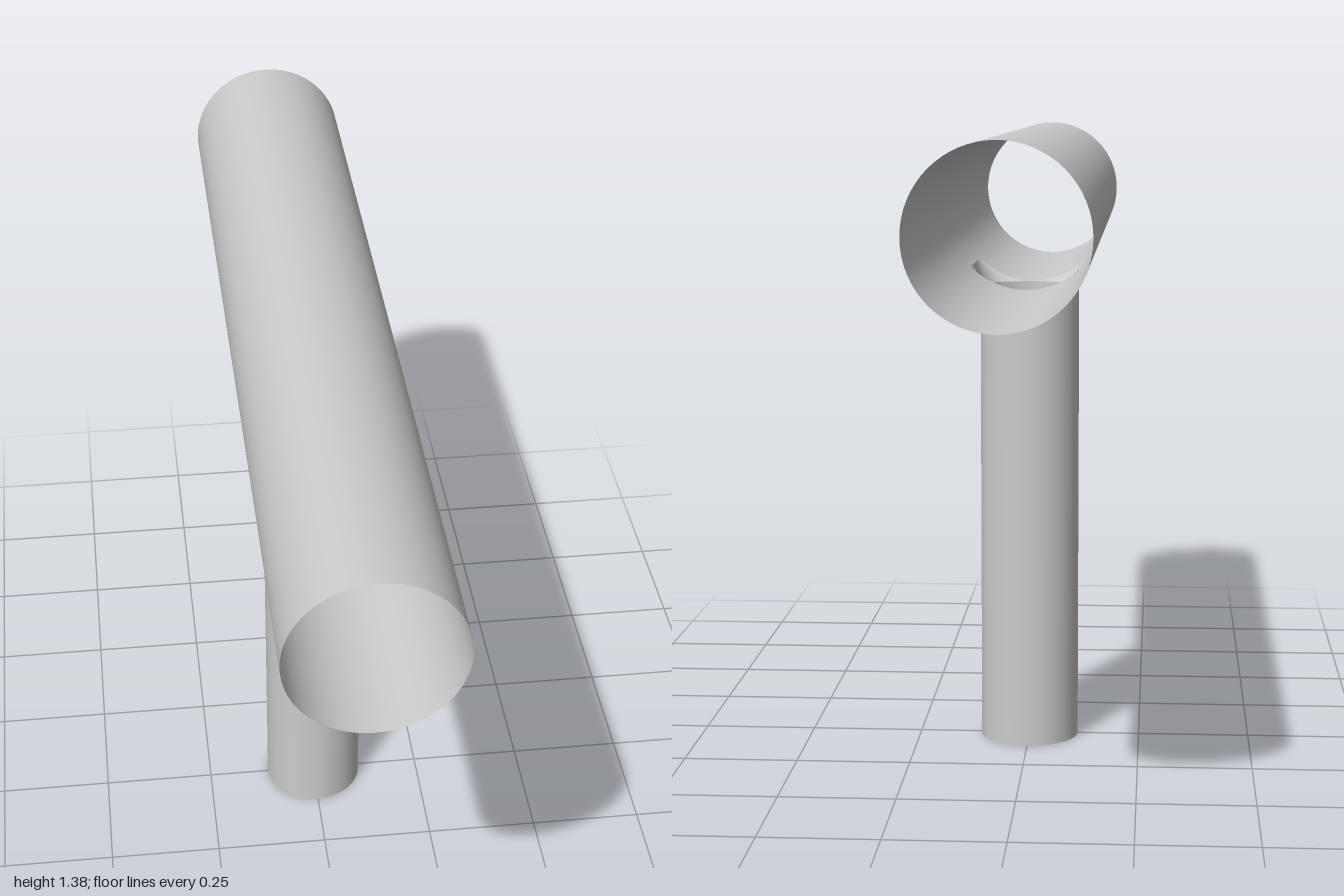
import * as THREE from 'three';

const R = 0.172;            // cross tube radius
const AXIS_Y = 1.203;       // cross tube axis height
const LEG_R = 0.11;
const LEG_TOP = 1.03;
const HALF = R * Math.SQRT1_2; // half width of the square opening under the tube
const SEG = 64;

const material = new THREE.MeshStandardMaterial({ color: 0xcccccc, side: THREE.DoubleSide });

function addMesh(parent, name, geometry) {
  const mesh = new THREE.Mesh(geometry, material);
  mesh.name = name;
  parent.add(mesh);
  return mesh;
}

// Open tube section along z; angle 0 is the underside
function tubeSection(z0, z1, start = 0, length = Math.PI * 2) {
  const segments = Math.round(SEG * length / (Math.PI * 2));
  return new THREE.CylinderGeometry(R, R, z1 - z0, segments, 1, true, start, length)
    .rotateX(Math.PI / 2)
    .translate(0, AXIS_Y, (z0 + z1) / 2);
}

// Flared collar from the round leg to the square opening on the tube's underside
function collarGeometry() {
  const positions = [], indices = [];
  for (let i = 0; i < SEG; i++) {
    const a = i / SEG * Math.PI * 2;
    const s = Math.sin(a), c = Math.cos(a);
    const k = HALF / Math.max(Math.abs(s), Math.abs(c));
    const x = s * k;
    positions.push(s * LEG_R, LEG_TOP, c * LEG_R);
    positions.push(x, AXIS_Y - Math.sqrt(R * R - x * x), c * k);
    const p = i * 2, q = ((i + 1) % SEG) * 2;
    indices.push(p, q, q + 1, p, q + 1, p + 1);
  }
  const geometry = new THREE.BufferGeometry();
  geometry.setAttribute('position', new THREE.Float32BufferAttribute(positions, 3));
  geometry.setIndex(indices);
  geometry.computeVertexNormals();
  return geometry;
}

export function createModel() {
  const model = new THREE.Group();
  model.name = 'teePipe';

  // Cross tube: two full ends and a middle section open underneath
  const tube = new THREE.Group();
  tube.name = 'crossTube';
  addMesh(tube, 'tubeFront', tubeSection(HALF, 1));
  addMesh(tube, 'tubeBack', tubeSection(-1, -HALF));
  addMesh(tube, 'tubeMiddle', tubeSection(-HALF, HALF, Math.PI / 4, Math.PI * 1.5));
  model.add(tube);

  addMesh(model, 'collar', collarGeometry());

  // Upright leg with a closed foot
  const leg = new THREE.CylinderGeometry(LEG_R, LEG_R, LEG_TOP, SEG, 1, true);
  addMesh(model, 'leg', leg.translate(0, LEG_TOP / 2, 0));
  addMesh(model, 'legFoot', new THREE.CircleGeometry(LEG_R, SEG).rotateX(Math.PI / 2));

  return model;
}
